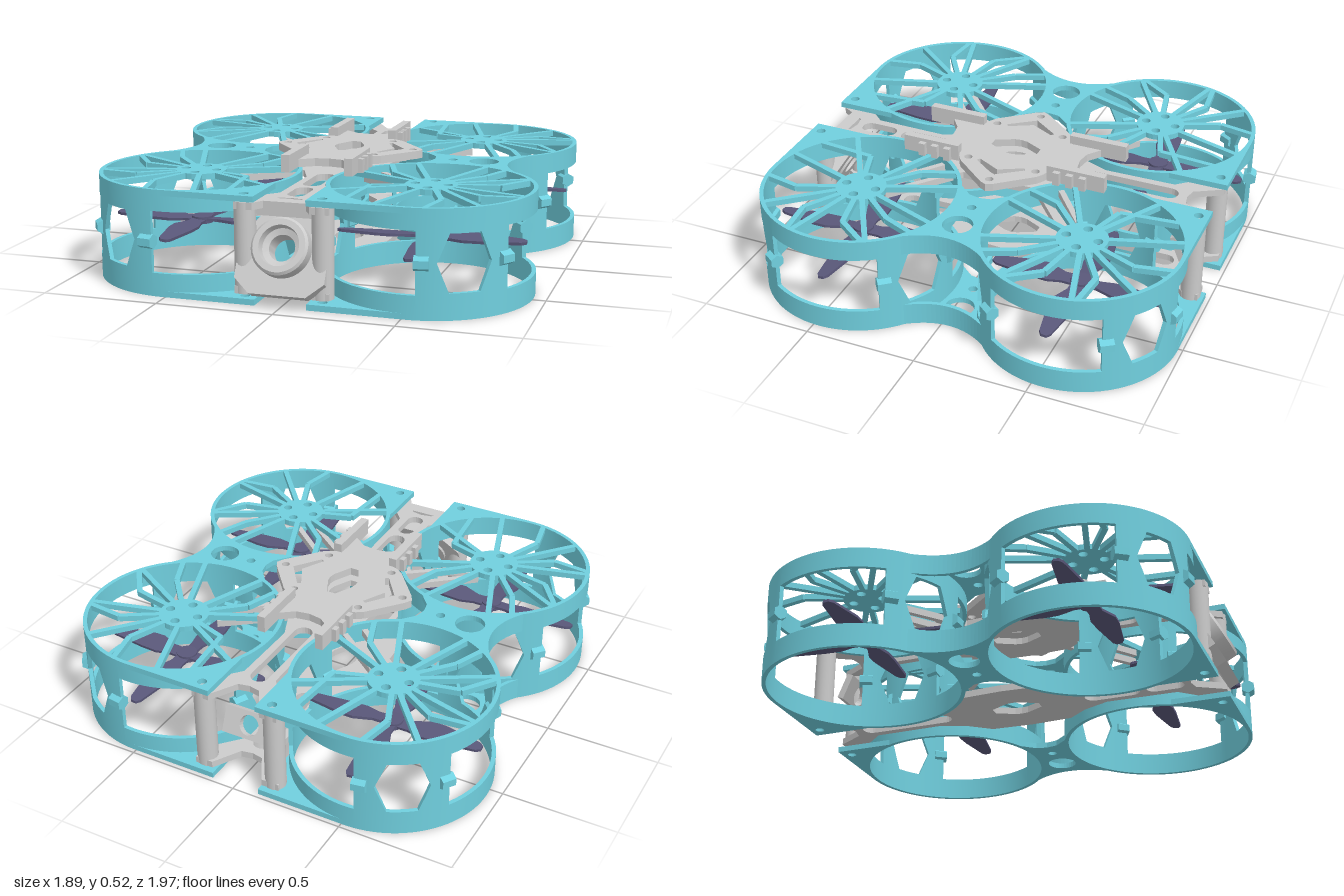
import * as THREE from 'three';
import { mergeGeometries, toCreasedNormals } from 'three/addons/utils/BufferGeometryUtils.js';

const teal = new THREE.MeshStandardMaterial({ color: 0x70cfde });
const grey = new THREE.MeshStandardMaterial({ color: 0xcccccc, side: THREE.DoubleSide });
const dark = new THREE.MeshStandardMaterial({ color: 0x5a587a });
const RAD = Math.PI / 180;
const C = 0.51, R = 0.435, RI = 0.417, TOP = 0.45, MID = 0.23;

const V = (p) => p.map(([x, z]) => new THREE.Vector2(x, z));
const polygon = (p) => new THREE.Shape(V(p));
const circle = (x, z, r) => new THREE.Path().absarc(x, z, r, 0, Math.PI * 2);
const arc = (x, z, r, a, b, n = 24) => Array.from({ length: n + 1 }, (_, i) => {
  const t = (a + (b - a) * i / n) * RAD;
  return [x + r * Math.cos(t), z + r * Math.sin(t)];
});
const clean = (g) => { const n = g.index ? g.toNonIndexed() : g; n.deleteAttribute('uv'); return n; };

// Flat plate drawn in x/z, from y = top down by its thickness
function plate(shape, top, thick, holes = []) {
  shape.holes.push(...holes);
  const g = new THREE.ExtrudeGeometry(shape, { depth: thick, bevelEnabled: false, curveSegments: 16 });
  return clean(g.rotateX(Math.PI / 2).translate(0, top, 0));
}
// Straight bar between two x/z points
function bar(x1, z1, x2, z2, w, top, h) {
  const g = new THREE.BoxGeometry(Math.hypot(x2 - x1, z2 - z1), h, w);
  return clean(g.rotateY(-Math.atan2(z2 - z1, x2 - x1)).translate((x1 + x2) / 2, top - h / 2, (z1 + z2) / 2));
}
// Outline repeated over all four quarters, from (a,0) to (0,b)
function four(q) {
  const r = [...q].reverse();
  const all = [...q, ...r.map(([x, z]) => [-x, z]), ...q.map(([x, z]) => [-x, -z]), ...r.map(([x, z]) => [x, -z])];
  return all.filter((p, i) => {
    const n = all[(i + 1) % all.length];
    return Math.hypot(p[0] - n[0], p[1] - n[1]) > 1e-6;
  });
}
// Mirrored copy with the winding kept outward
function mirror(geo, sx, sz) {
  const g = geo.clone().scale(sx, 1, sz);
  if (sx * sz < 0) for (const a of [g.attributes.position, g.attributes.normal])
    for (let i = 0; i < a.count; i += 3) {
      const b = [a.getX(i + 1), a.getY(i + 1), a.getZ(i + 1)];
      a.setXYZ(i + 1, a.getX(i + 2), a.getY(i + 2), a.getZ(i + 2));
      a.setXYZ(i + 2, ...b);
    }
  return g;
}

// Duct wall: curved band whose bottom and top edges follow [angle, yBottom, yTop]
function band(rows) {
  const pos = [];
  const at = (r, [a, lo, hi], up) => [r * Math.cos(a * RAD), up ? hi : lo, r * Math.sin(a * RAD)];
  const quad = (a, b, c, d) => pos.push(...a, ...b, ...c, ...a, ...c, ...d);
  for (let i = 0; i < rows.length - 1; i++) {
    const p = rows[i], q = rows[i + 1];
    quad(at(R, q, 0), at(R, p, 0), at(R, p, 1), at(R, q, 1));
    quad(at(RI, p, 0), at(RI, q, 0), at(RI, q, 1), at(RI, p, 1));
    quad(at(R, q, 1), at(R, p, 1), at(RI, p, 1), at(RI, q, 1));
    quad(at(R, p, 0), at(R, q, 0), at(RI, q, 0), at(RI, p, 0));
  }
  const g = new THREE.BufferGeometry();
  g.setAttribute('position', new THREE.Float32BufferAttribute(pos, 3));
  g.computeVertexNormals();
  return toCreasedNormals(g, 0.5);
}
function ductWall() {
  // One third: open window, panel edge, hexagonal window, panel edge
  const edge = [[-60, 0.1], [-26, 0.1], [-26, MID], [-15, MID], [-8.5, 0.11],
    [8.5, 0.11], [15, MID], [26, MID], [26, 0.1], [60, 0.1]];
  const rows = [];
  for (let k = 0; k < 3; k++) for (let i = 0; i < edge.length - 1; i++) {
    const [a, y] = edge[i], [b, w] = edge[i + 1], n = Math.max(1, Math.ceil((b - a) / 4));
    for (let j = 0; j < n; j++) rows.push([58 + 120 * k + a + (b - a) * j / n, y + (w - y) * j / n]);
  }
  rows.push([58 + 300, 0.1]);
  return mergeGeometries([band(rows.map(([a, y]) => [a, 0, y])), band(rows.map(([a, y]) => [a, 2 * MID - y, TOP]))]);
}
function clips() {
  return mergeGeometries([34, 81, 154, 201, 274, 321].map((a) => clean(
    new THREE.CylinderGeometry(0.032, 0.032, 0.06, 6).rotateX(Math.PI / 2)
      .translate(R - 0.005, MID, 0).rotateY(-a * RAD))).map((g) => toCreasedNormals(g, 0.3)));
}
// Hub disc with screw holes, straight spokes and kinked braces
function spokes() {
  const parts = [plate(new THREE.Shape().absarc(0, 0, 0.11, 0, Math.PI * 2), TOP, 0.025,
    [0, 90, 180, 270].map((a) => circle(0.07 * Math.cos(a * RAD), 0.07 * Math.sin(a * RAD), 0.02)))];
  const P = (r, a) => [r * Math.cos(a * RAD), r * Math.sin(a * RAD)];
  for (const a of [-70, -30, 15, 50, 108, 150, 205, 248]) parts.push(bar(...P(0.09, a), ...P(0.425, a), 0.024, TOP, 0.025));
  for (const [a, b] of [[32, 18], [-12, -28], [162, 128], [68, 80], [222, 232], [-50, -56]]) {
    const r = a === 162 ? 0.25 : 0.28;
    parts.push(bar(...P(0.09, a), ...P(r, a), 0.024, TOP, 0.025), bar(...P(r, a), ...P(0.425, b), 0.024, TOP, 0.025));
  }
  return mergeGeometries(parts);
}
function propeller() {
  const blade = [[0, -0.03], [0.08, -0.03], [0.16, -0.06], [0.22, -0.058], [0.38, -0.026], [0.4, -0.012],
    [0.4, 0.012], [0.38, 0.024], [0.22, 0.042], [0.14, 0.045], [0.08, 0.03], [0, 0.03]];
  const parts = [0, 1, 2, 3].map((k) => plate(polygon(blade), 0.006, 0.012)
    .rotateX(0.1).rotateY(k * Math.PI / 2 + 0.02));
  parts.push(clean(new THREE.CylinderGeometry(0.045, 0.045, 0.03, 20)));
  return mergeGeometries(parts).translate(0, MID, 0);
}
// Corner plates joining each duct to its post, above and below
function cornerPlates() {
  const make = (top) => plate(polygon([[C, 0.945], [0.11, 0.945], [0.11, 0.68], ...arc(C, C, 0.425, 157, 90)]),
    top, 0.025, [circle(0.165, 0.9, 0.02)]);
  return mergeGeometries([make(TOP), make(0.025)]);
}
// Waist plates and their curved outer bands between front and rear ducts
function waist() {
  const lower = arc(C, C, 0.428, -115, -48);
  const outer = new THREE.QuadraticBezierCurve(new THREE.Vector2(0.8, 0.19), new THREE.Vector2(0.66, 0),
    new THREE.Vector2(0.8, -0.19)).getPoints(20).map((v) => [v.x, v.y]);
  const upper = [...lower].reverse().map(([x, z]) => [x, -z]);
  const make = (top) => plate(polygon([...lower, ...outer, ...upper, [0.39, -0.05], [0.4, 0], [0.39, 0.05]]),
    top, 0.025, [circle(0.62, 0, 0.065), circle(0.48, 0, 0.02)]);
  const wall = (top, h) => plate(polygon([...outer, ...[...outer].reverse().map(([x, z]) => [x - 0.018, z])]), top, h);
  return mergeGeometries([make(TOP), make(0.025), wall(TOP, 0.09), wall(0.1, 0.1)]);
}

const hexHole = () => new THREE.Path(V(four([[0.065, 0], [0.06, 0.03], [0.02, 0.11], [0, 0.11]])));
function slot(z1, z2, w) {
  return new THREE.Path(V([...arc(0, z2 - w, w, 0, 180, 10), ...arc(0, z1 + w, w, 180, 360, 10)]));
}
// Long forked plate running front to back
function spine(top) {
  const q = [[0.2, 0], [0.19, 0.19], [0.12, 0.28], [0.07, 0.4], [0.075, 0.72], [0.2, 0.86], [0.2, 0.93],
    [0.12, 0.93], [0.05, 0.81], [0, 0.8]];
  return plate(polygon(four(q)), top, 0.03, [hexHole(), slot(-0.76, -0.32, 0.04), slot(0.32, 0.57, 0.04), slot(0.6, 0.77, 0.038)]);
}
// Raised deck with side cut-outs, rails and ribs
function deck() {
  const q = [[0.34, 0], [0.325, 0.03], [0.2, 0.18], [0.17, 0.2], [0.12, 0.22], [0.12, 0.36], [0.06, 0.315], [0, 0.305]];
  const holes = [hexHole()], parts = [];
  for (const s of [1, -1]) {
    holes.push(circle(s * 0.295, 0, 0.018));
    holes.push(new THREE.Path(V([[0.255, 0], [0.17, 0.115], [0.155, 0.105], [0.21, 0], [0.155, -0.105], [0.17, -0.115]]
      .map(([x, z]) => [s * x, z]))));
    for (const t of [1, -1]) {
      holes.push(circle(s * 0.16, t * 0.16, 0.018));
      parts.push(bar(s * 0.14, t * 0.21, s * 0.14, t * 0.475, 0.036, 0.525, 0.075));
      for (const z of [0.26, 0.32, 0.38]) parts.push(bar(s * 0.15, t * z, s * 0.18, t * z, 0.03, 0.51, 0.06));
    }
  }
  return mergeGeometries([plate(polygon(four(q)), 0.485, 0.035, holes), ...parts]);
}
// Camera holder: tilted plate with an open lens barrel
function cameraMount() {
  const g = new THREE.Group();
  const s = polygon([[-0.19, -0.13], [-0.12, -0.19], [0.12, -0.19], [0.19, -0.13], [0.19, 0.04], [0.11, 0.14], [-0.11, 0.14], [-0.19, 0.04]]);
  s.holes.push(circle(0, 0, 0.058));
  const face = new THREE.ExtrudeGeometry(s, { depth: 0.05, bevelEnabled: false, curveSegments: 20 }).translate(0, 0, -0.05);
  const lens = new THREE.LatheGeometry(V([[0.055, -0.06], [0.11, -0.06], [0.12, -0.02], [0.12, 0.055], [0.11, 0.065],
    [0.085, 0.065], [0.08, 0.03], [0.055, 0.02], [0.055, -0.06]]), 36).rotateX(Math.PI / 2);
  add(g, face, grey, 'cameraPlate');
  add(g, toCreasedNormals(lens, 0.5), grey, 'lensBarrel');
  g.position.set(0, MID, 0.895);
  g.rotation.x = -0.5;
  g.name = 'cameraMount';
  return g;
}
function add(parent, geo, mat, name) {
  const m = new THREE.Mesh(geo, mat);
  m.name = name;
  parent.add(m);
  return m;
}

export function createModel() {
  const model = new THREE.Group();
  model.name = 'ductedQuadcopter';
  const body = new THREE.Group();
  body.name = 'airframe';
  body.position.z = -0.035;
  model.add(body);

  // Four mirrored ducts
  const ductParts = [[ductWall(), teal, 'ductWall'], [clips(), teal, 'ductClips'], [spokes(), teal, 'motorSpokes'],
    [propeller(), dark, 'propeller']].map(([g, m, n]) => [g.translate(C, 0, C), m, n]);
  const arms = mergeGeometries([bar(0.17, 0.17, 0.47, 0.42, 0.025, 0.42, 0.03), bar(0.12, 0.25, 0.38, 0.45, 0.025, 0.42, 0.03)]);
  ductParts.push([cornerPlates(), teal, 'cornerPlates'], [arms, grey, 'armStruts'],
    [clean(new THREE.CylinderGeometry(0.045, 0.045, 0.38, 20)).translate(0.165, 0.23, 0.89), grey, 'post']);
  for (const sx of [1, -1]) for (const sz of [1, -1]) {
    const quarter = new THREE.Group();
    quarter.name = (sz > 0 ? 'front' : 'rear') + (sx > 0 ? 'Left' : 'Right') + 'Duct';
    for (const [g, m, n] of ductParts) add(quarter, mirror(g, sx, sz), m, n);
    body.add(quarter);
  }
  const link = waist();
  add(body, link, teal, 'leftWaist');
  add(body, mirror(link, -1, 1), teal, 'rightWaist');

  // Central structure
  add(body, spine(0.42), grey, 'upperSpine');
  add(body, spine(0.07), grey, 'lowerSpine');
  add(body, deck(), grey, 'topDeck');
  body.add(cameraMount());
  add(body, bar(-0.12, 0.85, 0.12, 0.85, 0.06, 0.42, 0.06), grey, 'cameraBridge');

  // Tilted rear bracket with a round opening
  const s = polygon([[-0.12, -0.06], [0.12, -0.06], [0.12, 0.06], [-0.12, 0.06]]);
  s.holes.push(circle(0, 0, 0.045));
  const bracket = add(body, new THREE.ExtrudeGeometry(s, { depth: 0.03, bevelEnabled: false }), grey, 'rearBracket');
  bracket.position.set(0, MID, -0.82);
  bracket.rotation.x = 0.4;
  return model;
}
